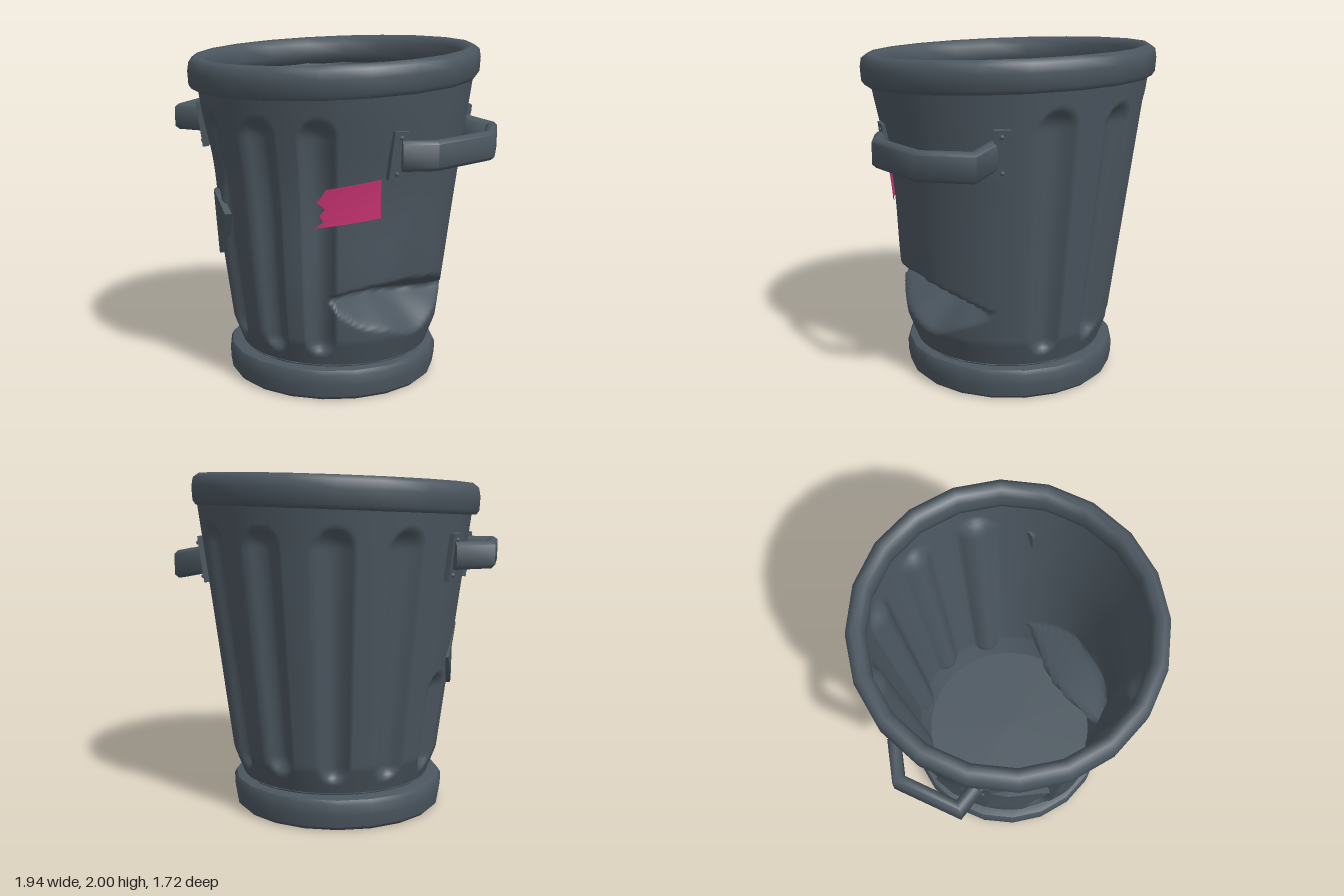
import * as THREE from 'three';
import { toCreasedNormals } from 'three/addons/utils/BufferGeometryUtils.js';

const RAD = Math.PI / 180;
const metal = new THREE.MeshStandardMaterial({ color: 0x4b565f });
metal.name = 'dark metal';
const pink = new THREE.MeshStandardMaterial({ color: 0xcb3473, side: THREE.DoubleSide });
pink.name = 'pink tape';

const lerp = THREE.MathUtils.lerp;
const bell = (v, centre, width) => Math.exp(-(((v - centre) / width) ** 2));
const angleGap = (a, b) => ((a - b + 540) % 360) - 180;
// the crooked rim sits lower at the front and on the -x side
const tilt = (x, z) => 0.036 * x - 0.042 * z;

// Pressed grooves: [angle from the front in degrees, bottom, top]
const GROOVES = [
  [-2, 0.27, 1.63], [-28, 0.27, 1.63], [-58, 0.29, 1.62],
  [120, 0.27, 1.72], [150, 0.3, 1.71], [180, 0.27, 1.71], [210, 0.27, 1.7], [240, 0.27, 0.85],
];

// Wall radius without grooves or the deep dent
function plainWall(a, y) {
  let r = 0.6 + (y - 0.18) * 0.132;
  r -= 0.045 * bell(angleGap(a, 12), 0, 50) * bell(y, 1.2, 0.42);
  if (y < 0.35) r -= (0.35 - y) * 0.25;
  return r;
}

// Wall radius with all the damage
function wall(a, y) {
  let r = plainWall(a, y);
  for (const [ga, y0, y1] of GROOVES) {
    const u = Math.abs(angleGap(a, ga)) / 8;
    const half = 8 * RAD * r;
    const over = Math.max(0, y0 + half - y, y - y1 + half) / half;
    r -= 0.058 * Math.max(0, 1 - u * u - over * over);
  }
  // small dent above the flap
  r -= 0.05 * bell(angleGap(a, -72), 0, 12) * bell(y, 1.25, 0.2);
  // deep dent low in the front corner: overhang on top, ledge below
  const off = angleGap(a, 46);
  if (Math.abs(off) < 60) {
    const crease = 0.57 - off * 0.0008;
    const lip = 0.2 + 0.02 * Math.sin(off * 0.15);
    let depth = lerp(0.36, 0.62, (crease - y) / lip);
    if (y > crease) depth = lerp(0.36, 0.64, (y - crease) / 0.11);
    if (y > crease + 0.11) depth = lerp(0.64, 0.76, (y - crease - 0.11) / 0.7);
    const dented = depth / Math.cos(off * 1.2 * RAD);
    const blend = Math.max(0.02 - Math.abs(r - dented), 0);
    r = Math.min(r, dented) - (blend * blend) / 0.08;
  }
  return r;
}

// Column angles, closer together across the grooves
const COLUMNS = [];
for (let a = -10; a < 350;) {
  COLUMNS.push(a);
  a += GROOVES.some(([ga]) => Math.abs(angleGap(a, ga)) < 9) ? 1 : 2;
}

// Wall shell as a grid around the axis
function shell(inset, inward) {
  const N = COLUMNS.length, M = 84, pos = [], idx = [];
  for (let j = 0; j <= M; j++) for (const a of COLUMNS) {
    const s = Math.sin(a * RAD), c = Math.cos(a * RAD);
    const y = lerp(0.15, 1.83 + tilt(s * 0.8, c * 0.8), j / M);
    const r = wall(a, y) - inset;
    pos.push(r * s, y, r * c);
  }
  for (let j = 0; j < M; j++) for (let i = 0; i < N; i++) {
    const p = j * N + i, q = j * N + ((i + 1) % N);
    if (inward) idx.push(p, q + N, q, p, p + N, q + N);
    else idx.push(p, q, q + N, p, q + N, p + N);
  }
  return makeGeometry(pos, idx);
}

function makeGeometry(pos, idx, crease) {
  const g = new THREE.BufferGeometry();
  g.setAttribute('position', new THREE.Float32BufferAttribute(pos, 3));
  g.setIndex(idx);
  g.computeVertexNormals();
  return crease ? toCreasedNormals(g, crease) : g;
}

function lathe(points) {
  return new THREE.LatheGeometry(points.map(([x, y]) => new THREE.Vector2(x, y)), 20);
}

// Chamfered flat bar swept along a path of [x, y, z], mitred at the bends
function strap(path, thick, high) {
  const P = path.map((p) => new THREE.Vector3(...p));
  const w = thick / 2, h = high / 2, b = 0.02;
  const section = [[w, -h + b], [w, h - b], [w - b, h], [-w + b, h], [-w, h - b], [-w, -h + b], [-w + b, -h], [w - b, -h]];
  const flat = (v) => v.setY(0).normalize();
  const pos = [], idx = [];
  P.forEach((p, s) => {
    const before = flat(p.clone().sub(P[Math.max(s - 1, 0)]));
    const after = flat(P[Math.min(s + 1, P.length - 1)].clone().sub(p));
    const t = flat(before.clone().add(after));
    const mitre = 1 / Math.max(0.6, t.dot(s ? before : after));
    for (const [u, v] of section) pos.push(p.x + t.z * u * mitre, p.y + v, p.z - t.x * u * mitre);
    if (s) for (let k = 0; k < 8; k++) {
      const k2 = (k + 1) % 8, o = (s - 1) * 8;
      idx.push(o + k, o + k2, o + 8 + k2, o + k, o + 8 + k2, o + 8 + k);
    }
  });
  for (let k = 1; k < 7; k++) {
    const o = (P.length - 1) * 8;
    idx.push(0, k + 1, k, o, o + k, o + k + 1);
  }
  return makeGeometry(pos, idx, 0.85);
}

// Riveted plate lying on the wall
function plate(a, y, roll) {
  const g = new THREE.Group();
  g.name = 'handlePlate';
  add(g, 'plate', new THREE.BoxGeometry(0.09, 0.27, 0.035));
  for (const v of [-0.1, 0.1]) {
    const rivet = add(g, 'rivet', new THREE.SphereGeometry(0.014, 8, 6));
    rivet.position.set(0, v, 0.015);
  }
  const r = plainWall(a, y) + 0.012;
  g.position.set(r * Math.sin(a * RAD), y, r * Math.cos(a * RAD));
  g.rotation.set(0.13, a * RAD, roll, 'YXZ');
  return g;
}

function add(parent, name, geometry, material = metal) {
  const m = new THREE.Mesh(geometry, material);
  m.name = name;
  parent.add(m);
  return m;
}

// Loose sheet-metal flap on the -x side, standing out at its lower edge
function flap() {
  const edge = [[-113, 0.93], [-104, 0.78], [-88, 0.72], [-70, 0.76], [-56, 1.03], [-76, 1.13], [-98, 1.11]];
  const at = ([a, y], lift) => {
    const r = plainWall(a, y) + lift;
    return [r * Math.sin(a * RAD), y, r * Math.cos(a * RAD)];
  };
  const n = edge.length, pos = at([-85, 0.94], 0.022), idx = [];
  for (const point of edge) pos.push(...at(point, lerp(0.035, 0.004, (point[1] - 0.72) / 0.41)));
  for (const point of edge) pos.push(...at(point, -0.03));
  for (let k = 0; k < n; k++) {
    const p = 1 + k, q = 1 + ((k + 1) % n);
    idx.push(0, p, q, p, p + n, q + n, p, q + n, q);
  }
  return makeGeometry(pos, idx, 0.3);
}

// Torn strip of tape bent round the front, ragged on its -x end
function tape() {
  const ragged = [-0.05, 0.0, -0.02, 0.01, -0.035, -0.005, 0.015];
  const rows = ragged.length, cols = 9, pos = [], idx = [];
  for (let j = 0; j < rows; j++) for (let i = 0; i < cols; i++) {
    const u = i / (cols - 1), v = j / (rows - 1);
    const x = lerp(ragged[j], 0.31, u);
    const y = lerp(lerp(1.03, 1.25, v), lerp(1.08, 1.3, v), u);
    const r = plainWall(Math.asin(x / 0.7) / RAD, y) + 0.014;
    pos.push(x, y, Math.sqrt(r * r - x * x));
    if (i && j) {
      const p = j * cols + i;
      idx.push(p - cols - 1, p - cols, p, p - cols - 1, p, p - 1);
    }
  }
  return makeGeometry(pos, idx);
}

export function createModel() {
  const model = new THREE.Group();
  model.name = 'trashCan';

  // Body
  add(model, 'outerWall', shell(0, false));
  add(model, 'innerWall', shell(0.03, true));
  const floor = add(model, 'floor', new THREE.CircleGeometry(0.58, 20).rotateX(-Math.PI / 2));
  floor.position.y = 0.2;

  // Foot ring with closed underside
  const base = add(model, 'base', toCreasedNormals(lathe([[0, 0], [0.605, 0], [0.625, 0.02],
    [0.637, 0.09], [0.638, 0.155], [0.625, 0.18], [0.59, 0.188], [0.5, 0.188]]), 0.6));
  base.position.set(-0.015, 0, -0.01);

  // Tilted rim
  const rim = lathe([[0.765, 1.8], [0.8, 1.773], [0.838, 1.775], [0.855, 1.8], [0.86, 1.88],
    [0.852, 1.93], [0.82, 1.954], [0.78, 1.947], [0.757, 1.91], [0.755, 1.84], [0.765, 1.8]]);
  const p = rim.attributes.position;
  for (let i = 0; i < p.count; i++) p.setY(i, p.getY(i) + tilt(p.getX(i), p.getZ(i)));
  add(model, 'rim', toCreasedNormals(rim, 0.95)).position.x = -0.005;

  // Handles
  const left = [[0.42, 1.43, 0.66], [0.6, 1.43, 0.62], [0.9, 1.44, 0.31], [0.93, 1.45, 0.01], [0.74, 1.49, -0.08]];
  const right = [[-0.66, 1.54, -0.47], [-0.87, 1.54, -0.38], [-0.935, 1.54, -0.03], [-0.74, 1.54, 0.05]];
  add(model, 'leftHandle', strap(left, 0.065, 0.165));
  add(model, 'rightHandle', strap(right, 0.065, 0.155));
  model.add(plate(32, 1.43, -0.06), plate(98, 1.49, 0), plate(-86, 1.51, 0), plate(-124, 1.53, 0));

  // Damage and repair
  add(model, 'flap', flap());
  add(model, 'tape', tape(), pink);
  return model;
}
